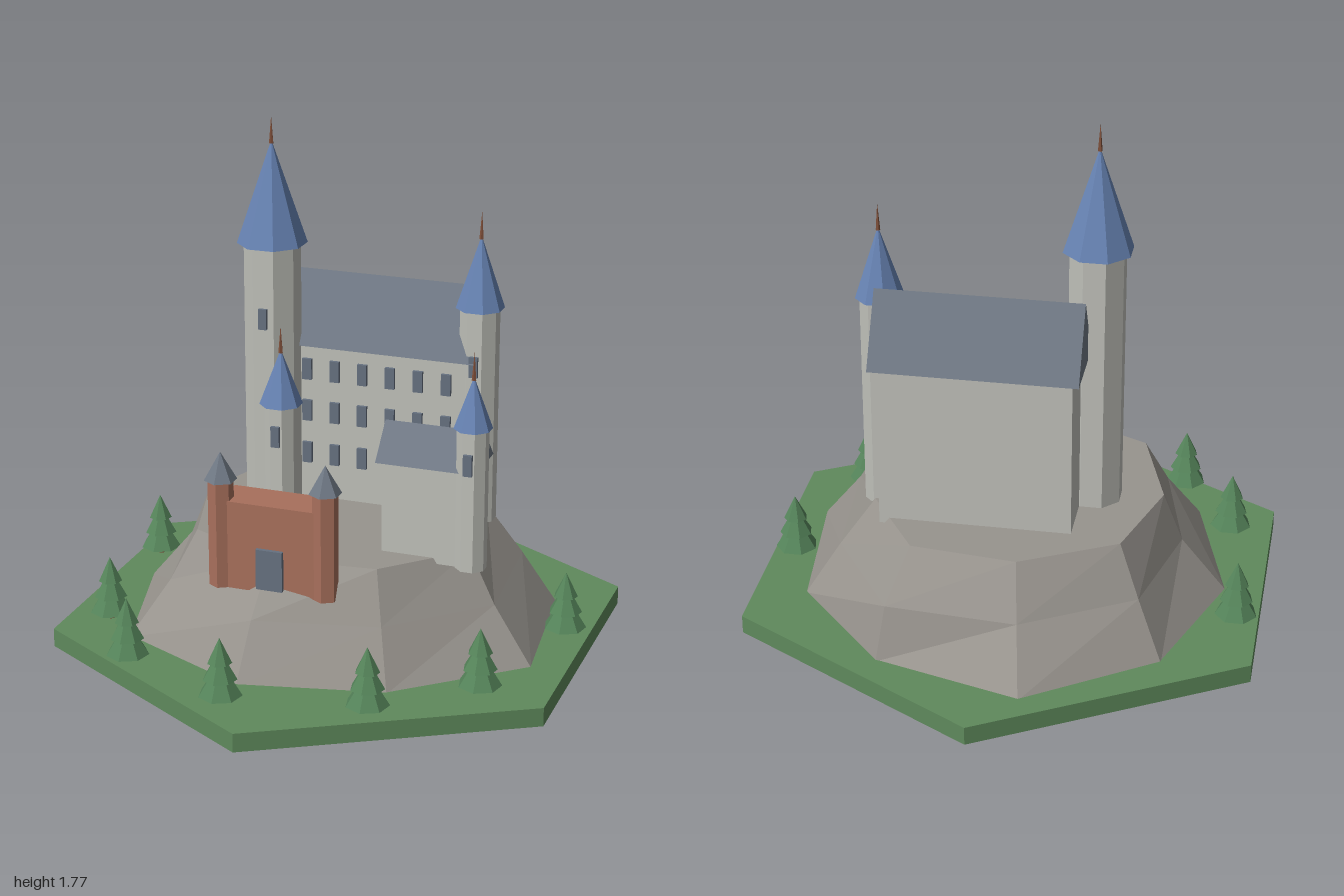
import * as THREE from 'three';

const mat = (name, color) => {
  const m = new THREE.MeshStandardMaterial({ color, flatShading: true });
  m.name = name;
  return m;
};

export function createModel() {
  const M = {
    grass: mat('grass', 0x5f8a5c),
    rock: mat('rock', 0x98948e),
    wall: mat('pale stone', 0xbfc0b9),
    roof: mat('slate', 0x6f7884),
    spire: mat('blue tile', 0x6783b3),
    brick: mat('red brick', 0xa8705c),
    window: mat('window grey', 0x667180),
    tree: mat('pine green', 0x55845a),
    wood: mat('wood', 0x80503a),
  };
  const root = new THREE.Group();
  root.name = 'hilltopCastle';

  const add = (parent, name, geo, material, x = 0, y = 0, z = 0) => {
    const mesh = new THREE.Mesh(geo, material);
    mesh.name = name;
    mesh.position.set(x, y, z);
    parent.add(mesh);
    return mesh;
  };
  const group = (name, x = 0, y = 0, z = 0) => {
    const g = new THREE.Group();
    g.name = name;
    g.position.set(x, y, z);
    root.add(g);
    return g;
  };
  // Box given by its limits
  const box = (parent, name, material, x0, x1, y0, y1, z0, z1) =>
    add(parent, name, new THREE.BoxGeometry(x1 - x0, y1 - y0, z1 - z0), material,
      (x0 + x1) / 2, (y0 + y1) / 2, (z0 + z1) / 2);
  // Upright prism or cone standing on y0
  const column = (parent, name, material, r0, r1, y0, y1, sides, turn = 0) => {
    const g = new THREE.CylinderGeometry(r1, r0, y1 - y0, sides);
    g.rotateY(turn);
    return add(parent, name, g, material, 0, (y0 + y1) / 2, 0);
  };
  // Gabled roof with its ridge along x
  const gable = (parent, name, x0, x1, y0, y1, z0, z1) => {
    const h = (z1 - z0) / 2;
    const s = new THREE.Shape([
      new THREE.Vector2(-h, 0), new THREE.Vector2(h, 0), new THREE.Vector2(0, y1 - y0)]);
    const g = new THREE.ExtrudeGeometry(s, { depth: x1 - x0, bevelEnabled: false });
    g.rotateY(Math.PI / 2);
    add(parent, name, g, M.roof, x0, y0, (z0 + z1) / 2);
  };
  const pane = (parent, x, y, z, w = 0.034, h = 0.075) =>
    add(parent, 'window', new THREE.BoxGeometry(w, h, 0.018), M.window, x, y, z);

  // Hexagonal ground
  column(root, 'ground', M.grass, 1, 1, 0, 0.065, 6);

  // Faceted hill: three rings and a flat top
  const foot = [[-0.14, -0.82], [0.36, -0.68], [0.69, -0.31], [0.75, 0.23], [0.36, 0.57],
    [-0.12, 0.68], [-0.6, 0.46], [-0.74, -0.05], [-0.57, -0.53]];
  const crest = [[-0.09, -0.56], [0.27, -0.52], [0.45, -0.24], [0.51, 0.16], [0.27, 0.41],
    [-0.09, 0.45], [-0.41, 0.3], [-0.515, -0.05], [-0.41, -0.39]];
  const bulge = [0.42, 0.72, 0.5, 0.4, 0.45, 0.55, 0.4, 0.3, 0.45];
  const n = foot.length;
  const pos = [];
  foot.forEach(([x, z]) => pos.push(x, 0.06, z));
  foot.forEach(([x, z], i) => pos.push(
    THREE.MathUtils.lerp(crest[i][0], x, bulge[i]), 0.25,
    THREE.MathUtils.lerp(crest[i][1], z, bulge[i])));
  crest.forEach(([x, z]) => pos.push(x, 0.42, z));
  pos.push(-0.02, 0.42, -0.04);
  const idx = [];
  for (let i = 0; i < n; i++) {
    const j = (i + 1) % n;
    for (let k = 0; k < 2 * n; k += n) {
      idx.push(k + j, k + i, k + n + i, k + j, k + n + i, k + n + j);
    }
    idx.push(3 * n, 2 * n + j, 2 * n + i);
  }
  const hill = new THREE.BufferGeometry();
  hill.setAttribute('position', new THREE.Float32BufferAttribute(pos, 3));
  hill.setIndex(idx);
  hill.computeVertexNormals();
  add(root, 'hill', hill, M.rock);

  // Great hall with three rows of windows
  const hall = group('greatHall');
  box(hall, 'hallWalls', M.wall, -0.24, 0.41, 0.4, 0.976, -0.357, -0.117);
  gable(hall, 'hallRoof', -0.263, 0.435, 0.975, 1.212, -0.377, -0.098);
  for (const y of [0.585, 0.74, 0.89]) {
    for (let i = 0; i < 6; i++) pane(hall, -0.166 + i * 0.1, y, -0.114);
  }

  // Annex
  const annex = group('annex');
  box(annex, 'annexWalls', M.wall, 0.234, 0.538, 0.4, 0.736, 0.084, 0.26);
  gable(annex, 'annexRoof', 0.216, 0.556, 0.735, 0.85, 0.066, 0.278);

  // Octagonal towers with blue spires: x, z, radius, eave, tip, spire radius, window height
  const towers = [
    ['mainTower', -0.28, -0.085, 0.097, 1.337, 1.692, 0.12, 1.092],
    ['backTower', 0.43, -0.175, 0.068, 1.155, 1.405, 0.083, 0.965],
    ['cornerTower', 0.538, 0.245, 0.053, 0.885, 1.06, 0.064, 0.775],
    ['courtTower', -0.158, 0.157, 0.056, 0.855, 1.045, 0.073, 0.755],
  ];
  for (const [name, x, z, r, eave, tip, spireR, winY] of towers) {
    const t = group(name, x, 0, z);
    column(t, 'shaft', M.wall, r, r, 0.4, eave, 8, Math.PI / 8);
    column(t, 'spire', M.spire, spireR, 0, eave, tip, 8, Math.PI / 8);
    column(t, 'finial', M.wood, 0.008, 0, tip - 0.012, tip + 0.082, 5);
    pane(t, 0, winY, r * Math.cos(Math.PI / 8) + 0.003, 0.03, 0.072);
  }

  // Brick gatehouse with door and two turrets
  const gate = group('gatehouse');
  box(gate, 'gateWalls', M.brick, -0.247, 0.115, 0.32, 0.625, 0.357, 0.5);
  box(gate, 'gateDoor', M.window, -0.113, -0.021, 0.335, 0.475, 0.498, 0.514);
  for (const x of [-0.248, 0.116]) {
    const t = group('gateTurret', x, 0, 0.475);
    column(t, 'turretShaft', M.brick, 0.043, 0.043, 0.32, 0.69, 6);
    column(t, 'turretRoof', M.roof, 0.055, 0, 0.688, 0.785, 6);
  }

  // Pine trees around the hill
  const spots = [[-0.79, -0.235], [0.785, -0.06], [-0.72, 0.345], [-0.525, 0.635],
    [-0.12, 0.81], [0.345, 0.715], [0.64, 0.46]];
  for (const [x, z] of spots) {
    const t = group('pineTree', x, 0, z);
    column(t, 'trunk', M.wood, 0.013, 0.011, 0.06, 0.12, 6);
    column(t, 'lowerBranches', M.tree, 0.073, 0, 0.092, 0.21, 7);
    column(t, 'middleBranches', M.tree, 0.057, 0, 0.148, 0.25, 7);
    column(t, 'upperBranches', M.tree, 0.041, 0, 0.205, 0.29, 7);
  }
  return root;
}
